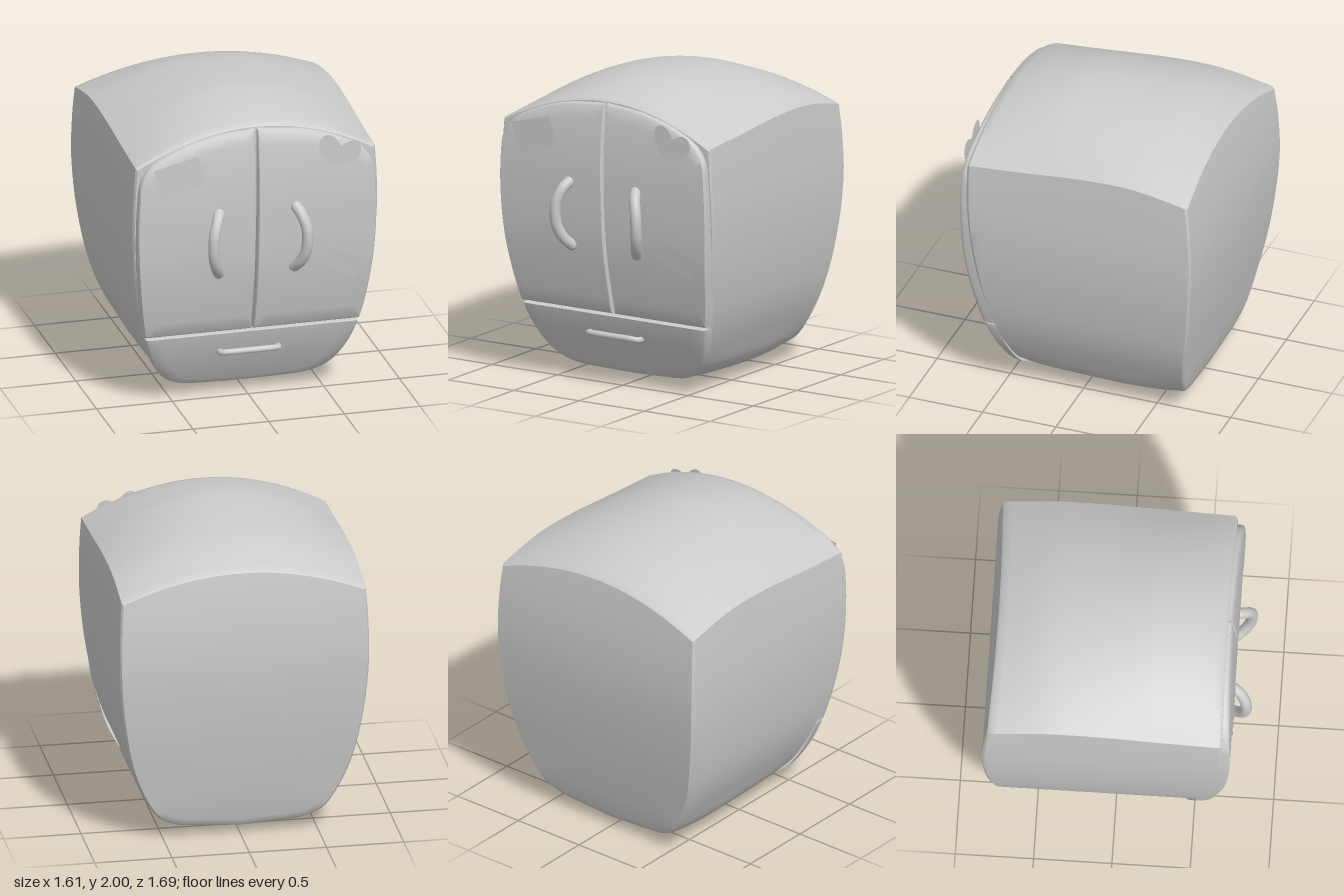
import * as THREE from 'three';
import { toCreasedNormals } from 'three/addons/utils/BufferGeometryUtils.js';

const material = new THREE.MeshStandardMaterial({ color: 0xcccccc, side: THREE.DoubleSide });
const V = (x, y, z = 0) => new THREE.Vector3(x, y, z);

// Smooth function through [input, output] pairs, clamped at the ends
function profile(pts) {
  const n = pts.length;
  const slope = i => {
    const a = pts[Math.max(i - 1, 0)], b = pts[Math.min(i + 1, n - 1)];
    return (b[1] - a[1]) / (b[0] - a[0]);
  };
  return v => {
    if (v <= pts[0][0]) return pts[0][1];
    if (v >= pts[n - 1][0]) return pts[n - 1][1];
    let i = 0;
    while (v > pts[i + 1][0]) i++;
    const [x0, y0] = pts[i], [x1, y1] = pts[i + 1], h = x1 - x0, s = (v - x0) / h;
    const s2 = s * s, s3 = s2 * s;
    return (2 * s3 - 3 * s2 + 1) * y0 + (s3 - 2 * s2 + s) * h * slope(i)
      + (3 * s2 - 2 * s3) * y1 + (s3 - s2) * h * slope(i + 1);
  };
}

// Depth of the back, of the cabinet front and of the door faces at each height
const backZ = profile([[0.06, -0.67], [0.2, -0.71], [0.39, -0.745], [0.76, -0.806], [1.2, -0.843],
  [1.5, -0.832], [1.69, -0.81], [1.85, -0.785]]);
const frontZ = profile([[0.07, 0.4], [0.25, 0.47], [0.5, 0.55], [0.97, 0.64], [1.35, 0.683],
  [1.7, 0.687], [1.91, 0.677]]);
const faceZ = profile([[0.07, 0.415], [0.2, 0.49], [0.35, 0.56], [0.5, 0.61], [0.92, 0.705],
  [1.34, 0.737], [1.66, 0.73], [1.9, 0.7]]);

// Heights along the cabinet from back (0) to front (1)
const bottomY = profile([[0, 0.06], [0.16, 0.02], [0.35, 0.003], [0.63, 0.013], [0.86, 0.03], [1, 0.07]]);
const crownY = profile([[0, 1.85], [0.195, 1.945], [0.4, 1.985], [0.6, 2], [0.7, 1.997], [0.877, 1.957], [1, 1.91]]);
const cornerY = profile([[0, 1.69], [0.14, 1.735], [0.275, 1.76], [0.48, 1.755], [0.745, 1.72], [1, 1.69]]);

// Closed skin over a stack of rings with equal point counts
function skin(rings, crease) {
  const n = rings[0].length, index = [];
  for (let j = 0; j < rings.length - 1; j++) {
    for (let i = 0; i < n; i++) {
      const a = j * n + i, b = j * n + (i + 1) % n;
      index.push(a, b, b + n, a, b + n, a + n);
    }
  }
  const g = new THREE.BufferGeometry().setFromPoints(rings.flat());
  g.setIndex(index);
  return toCreasedNormals(g, crease);
}

function add(group, name, geometry) {
  const mesh = new THREE.Mesh(geometry, material);
  mesh.name = name;
  group.add(mesh);
  return mesh;
}

const scaled = (ring, c, s, depth) => ring.map(p => {
  const y = c.y + (p.y - c.y) * s;
  return V(c.x + (p.x - c.x) * s, y, depth(y));
});

// Cabinet outline: rounded belly, flared sides, sharp shoulder and arched top
function section(t) {
  const b = bottomY(t), c = cornerY(t), k = crownY(t), half = [];
  const side = new THREE.CatmullRomCurve3([V(0, b), V(0.25, b + 0.017), V(0.42, 0.055 + b * 0.7),
    V(0.53, 0.125 + b * 0.5), V(0.61, 0.27), V(0.705, 0.5), V(0.775, 0.85), V(0.805, 1.2),
    V(0.802, 1.5), V(0.79, c)]);
  half.push(...side.getPoints(36));
  for (let i = 1; i <= 14; i++) {
    const u = 1 - i / 14;
    half.push(V(0.79 * u, k - (k - c) * u * u));
  }
  const mirrored = half.slice(1, -1).reverse().map(p => V(-p.x, p.y));
  return [...half, ...mirrored];
}

function cabinet() {
  const rings = [], c = V(0, 1), steps = [0, 0.2, 0.4, 0.6, 0.8, 0.95, 0.987];
  for (const s of steps) rings.push(scaled(section(0), c, s, backZ));
  for (let j = 0; j <= 32; j++) {
    const t = 0.01 + 0.98 * j / 32;
    rings.push(scaled(section(t), c, 1, y => THREE.MathUtils.lerp(backZ(y), frontZ(y), t)));
  }
  for (const s of steps.slice().reverse()) rings.push(scaled(section(1), c, s, frontZ));
  return skin(rings, 0.6);
}

// Padded front panel with a rounded rim
function panel(outline, c) {
  const rims = [[1, y => frontZ(y) - 0.02], [1, y => faceZ(y) - 0.025], [0.993, y => faceZ(y) - 0.008],
    [0.978, faceZ]];
  for (const s of [0.85, 0.7, 0.5, 0.3, 0.15, 0]) rims.push([s, faceZ]);
  return skin(rims.map(([s, depth]) => scaled(outline, c, s, depth)), 0.8);
}

const line = (a, b, n) => Array.from({ length: n }, (_, i) => a.clone().lerp(b, i / n));
const mirrorLoop = loop => loop.map(p => V(-p.x, p.y, p.z)).reverse();

// Tube with rounded ends
function handle(points, radius, name) {
  const g = new THREE.Group();
  g.name = name;
  add(g, 'grip', new THREE.TubeGeometry(new THREE.CatmullRomCurve3(points), 40, radius, 14));
  for (const p of [points[0], points[points.length - 1]]) {
    add(g, 'gripEnd', new THREE.SphereGeometry(radius, 14, 10)).position.copy(p);
  }
  return g;
}

export function createModel() {
  const model = new THREE.Group();
  model.name = 'fridge';
  add(model, 'cabinet', cabinet());

  // Front outline shared by the doors and the drawer
  const edge = new THREE.CatmullRomCurve3([V(0, 0.068), V(0.2, 0.072), V(0.43, 0.09), V(0.54, 0.145),
    V(0.63, 0.27), V(0.71, 0.5), V(0.765, 0.85), V(0.788, 1.2), V(0.783, 1.45), V(0.765, 1.6),
    V(0.7, 1.7), V(0.55, 1.785), V(0.3, 1.86), V(0, 1.893)]).getPoints(130);

  // Double doors
  const upper = edge.filter(p => p.y > 0.495 && p.x > 0.006);
  const foot = V(upper[0].x - 0.002, 0.488), seam = V(0.006, 0.488), head = V(0.006, 1.892);
  const doorLoop = [...line(seam, foot, 16), foot, ...upper, ...line(head, seam, 30)];
  add(model, 'leftDoor', panel(doorLoop, V(0.39, 1.2)));
  add(model, 'rightDoor', panel(mirrorLoop(doorLoop), V(-0.39, 1.2)));

  // Drawer below the doors
  const lower = edge.filter(p => p.y < 0.47);
  const lip = V(lower[lower.length - 1].x + 0.004, 0.476), lipR = V(-lip.x, 0.476);
  const drawerLoop = [...lower, ...line(lip, lipR, 30), lipR, ...mirrorLoop(lower).slice(0, -1)];
  add(model, 'drawer', panel(drawerLoop, V(0, 0.3)));

  // Bowed door handles
  for (const s of [1, -1]) {
    model.add(handle([V(0.255 * s, 1.35, 0.735), V(0.275 * s, 1.315, 0.775), V(0.305 * s, 1.22, 0.81),
      V(0.305 * s, 1.08, 0.803), V(0.28 * s, 0.99, 0.765), V(0.25 * s, 0.933, 0.71)],
    0.036, s > 0 ? 'leftDoorHandle' : 'rightDoorHandle'));
  }

  // Drawer handle
  model.add(handle([V(-0.205, 0.337, 0.54), V(-0.2, 0.34, 0.59), V(-0.16, 0.346, 0.609),
    V(0, 0.346, 0.611), V(0.13, 0.346, 0.609), V(0.175, 0.34, 0.59), V(0.18, 0.337, 0.54)],
  0.02, 'drawerHandle'));

  // Thin stickers lying just above the doors
  const sticker = (name, shape, depth) => {
    const g = new THREE.ShapeGeometry(shape, 10), p = g.attributes.position;
    for (let i = 0; i < p.count; i++) p.setZ(i, depth(p.getY(i)));
    g.computeVertexNormals();
    add(model, name, g);
  };
  const quad = pts => new THREE.Shape(pts.map(([x, y]) => new THREE.Vector2(x, y)));
  sticker('largeSticker', quad([[-0.69, 1.69], [-0.63, 1.48], [-0.34, 1.58], [-0.4, 1.76]]), () => 0.747);
  sticker('smallSticker', quad([[0.49, 1.04], [0.425, 0.945], [0.645, 0.81], [0.7, 0.915]]),
    y => faceZ(y) + 0.012);
  const heart = new THREE.Shape();
  heart.moveTo(0.545, 1.735);
  heart.bezierCurveTo(0.51, 1.83, 0.43, 1.85, 0.405, 1.775);
  heart.bezierCurveTo(0.39, 1.71, 0.44, 1.65, 0.495, 1.6);
  heart.bezierCurveTo(0.58, 1.61, 0.68, 1.63, 0.68, 1.7);
  heart.bezierCurveTo(0.675, 1.78, 0.6, 1.78, 0.545, 1.735);
  sticker('heartSticker', heart, () => 0.747);

  return model;
}
